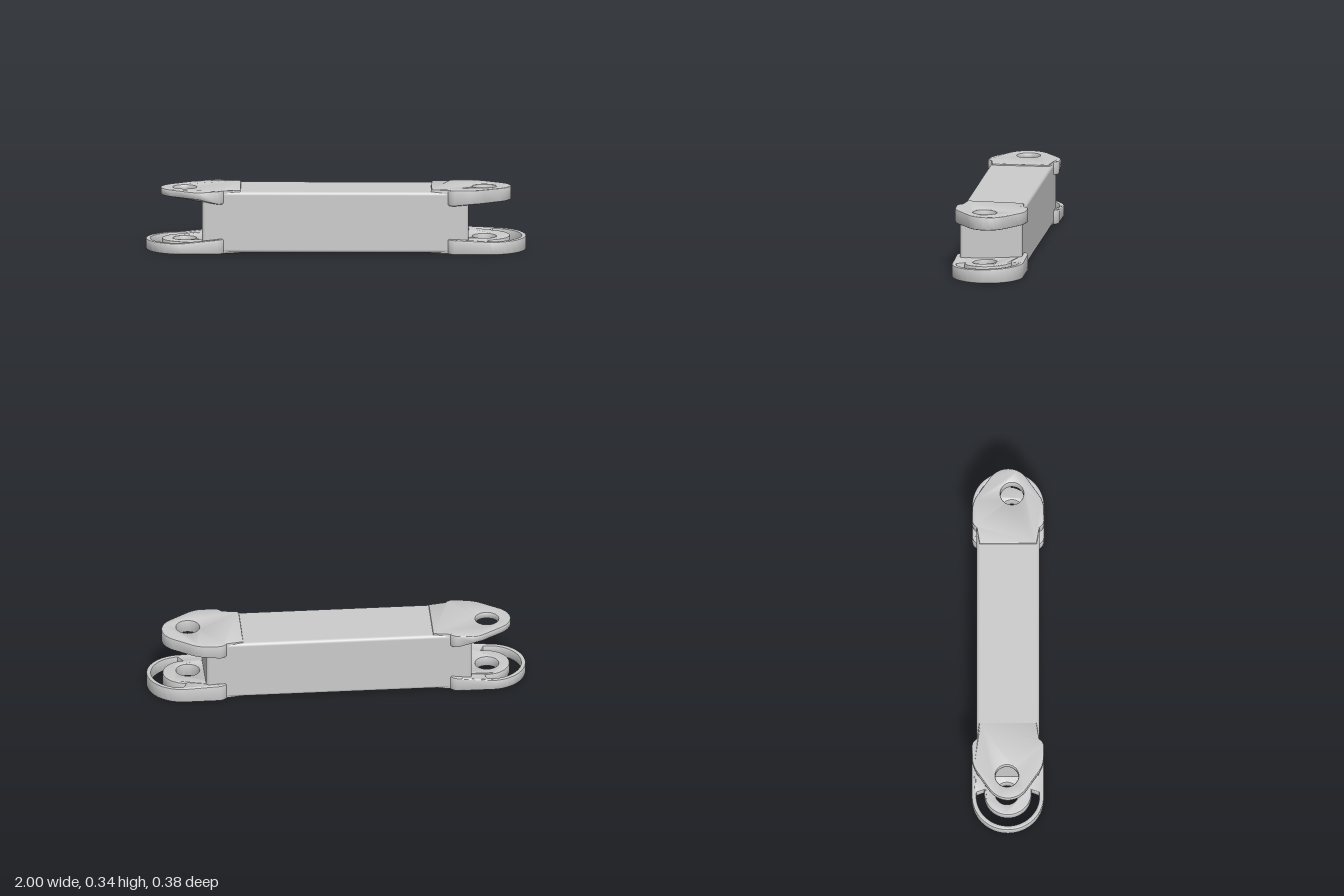
import * as THREE from 'three';
import { toCreasedNormals } from 'three/addons/utils/BufferGeometryUtils.js';
import { RoundedBoxGeometry } from 'three/addons/geometries/RoundedBoxGeometry.js';

const material = new THREE.MeshStandardMaterial({ color: 0xcccccc });
const { lerp, smoothstep } = THREE.MathUtils;

function pinHole(x, z, radius = 0.061) {
  return new THREE.Path().absarc(x, -z, radius, 0, Math.PI * 2, true);
}

// Shoulder shared by all lugs: flares from the beam width to the lug width
function startOutline() {
  const s = new THREE.Shape();
  s.moveTo(0.5, 0.15);
  s.lineTo(0.5, -0.15);
  s.lineTo(0.59, -0.165);
  s.quadraticCurveTo(0.605, -0.188, 0.63, -0.19);
  return s;
}

function endOutline(s) {
  s.lineTo(0.63, 0.19);
  s.quadraticCurveTo(0.605, 0.188, 0.59, 0.165);
  s.closePath();
  return s;
}

// Upper lug: tapering to a rounded nose
function upperOutline(holeX, holeZ) {
  const s = startOutline();
  s.lineTo(0.71, -0.188);
  s.quadraticCurveTo(0.75, -0.18, 0.78, -0.158);
  s.lineTo(0.865, -0.1);
  s.bezierCurveTo(0.94, -0.05, 0.94, 0.05, 0.865, 0.1);
  s.lineTo(0.78, 0.158);
  s.quadraticCurveTo(0.75, 0.18, 0.71, 0.188);
  endOutline(s).holes.push(pinHole(holeX, holeZ));
  return s;
}

// Lower lug: round end, pin hole and a crescent slot leaving a thin hoop
function lowerOutline(holeX, holeZ, slotAngle) {
  const s = startOutline();
  s.absarc(0.81, 0, 0.19, -Math.PI / 2, Math.PI / 2, false);
  endOutline(s);
  const slot = new THREE.Path();
  slot.absarc(0.81, 0, 0.165, -slotAngle, slotAngle, false);
  slot.absarc(0.79, 0, 0.125, slotAngle, -slotAngle, true);
  slot.closePath();
  s.holes.push(slot, pinHole(holeX, holeZ));
  return s;
}

// Extrudes an outline; bottom and top heights follow the distance and z
function lug(name, shape, side, bottom, top) {
  const geo = new THREE.ExtrudeGeometry(shape, {
    depth: 0.76, bevelEnabled: true, bevelThickness: 0.12, bevelSize: 0.007,
    bevelOffset: -0.007, bevelSegments: 2, curveSegments: 24,
  });
  const p = geo.attributes.position;
  for (let i = 0; i < p.count; i++) {
    const x = p.getX(i), z = -side * p.getY(i), t = p.getZ(i) + 0.12;
    p.setXYZ(i, side * x, lerp(bottom(x, z), top(x, z), t), z);
  }
  const mesh = new THREE.Mesh(toCreasedNormals(geo, 0.7), material);
  mesh.name = name;
  return mesh;
}

export function createModel() {
  const group = new THREE.Group();
  group.name = 'linkArm';

  // Square beam
  const beam = new THREE.Mesh(new RoundedBoxGeometry(1.4, 0.325, 0.33, 3, 0.018), material);
  beam.name = 'beam';
  beam.position.set(-0.003, 0.1675, 0);
  group.add(beam);

  const flat = () => 0;
  // Share of the way from the shoulder to the tip
  const out = (x) => smoothstep(x, 0.6, 0.74);

  group.add(
    lug('leftUpperLug', upperOutline(0.78, 0.02), 1,
      (x) => lerp(0.258, 0.268, out(x)),
      (x, z) => 0.34 + z * 0.02),
    lug('rightUpperLug', upperOutline(0.795, 0.005), -1,
      (x) => lerp(0.265, 0.292, out(x)),
      (x) => lerp(0.338, 0.329, out(x))),
    lug('leftLowerLug', lowerOutline(0.78, 0.02, 1.5), 1, flat,
      (x, z) => lerp(0.086, 0.076, out(x)) - z * 0.035),
    lug('rightLowerLug', lowerOutline(0.795, 0.005, 1.7), -1, flat,
      (x) => lerp(0.08, 0.058, out(x))),
  );
  return group;
}
